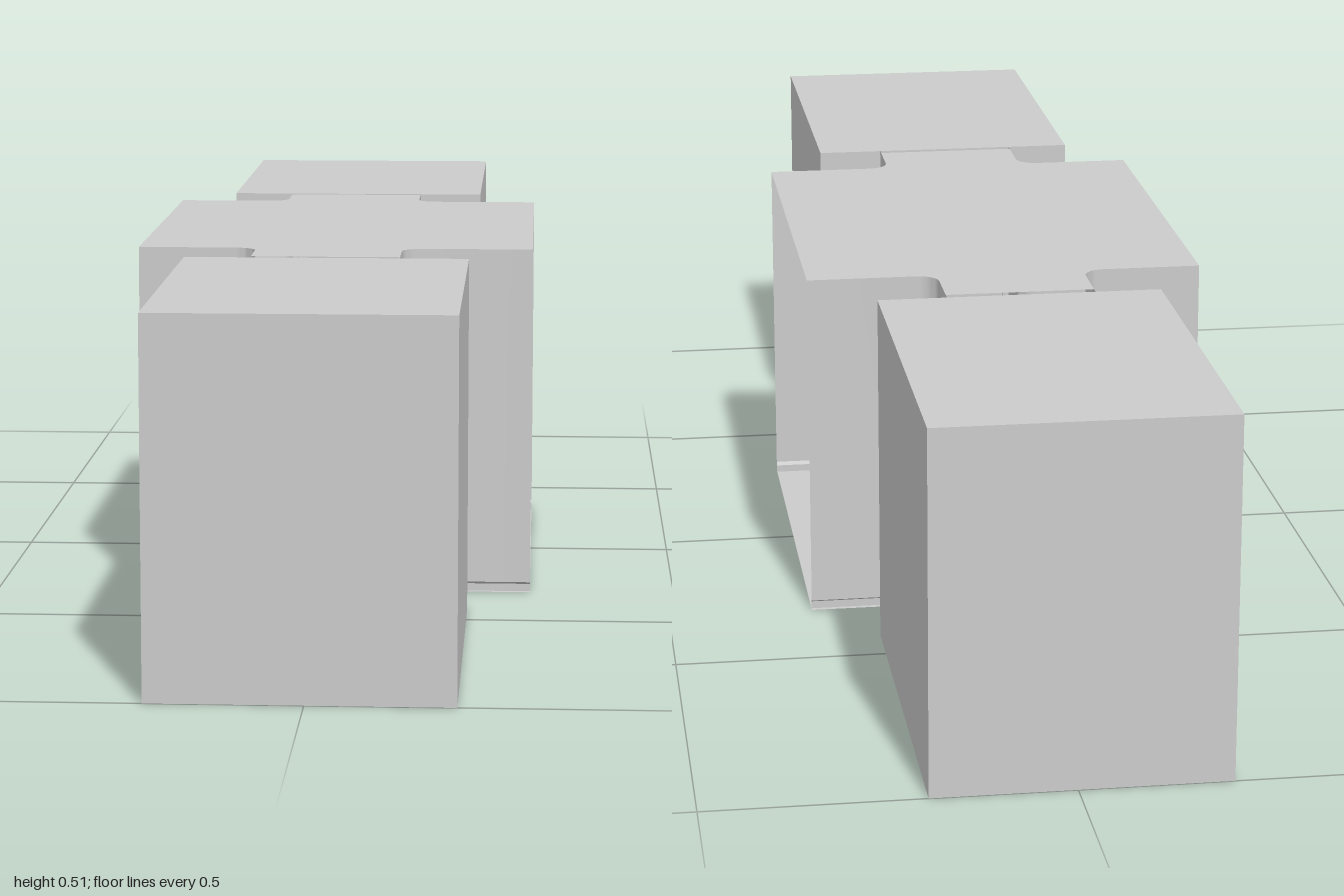
import * as THREE from 'three';
import { toCreasedNormals } from 'three/addons/utils/BufferGeometryUtils.js';

const H = 0.51;        // height
const ROOM_X = 0.288;  // half width of the central room
const ROOM_Z = 0.316;  // half depth of the central room
const NECK_CX = -0.008, NECK_W = 0.107; // passage centre and half width
const GAP_Z = 0.416;   // passage ceiling ends here
const END_Z = 0.429;   // end blocks begin here
const R = 0.03;        // rounded corner between room and passage

const solid = new THREE.MeshStandardMaterial({ color: 0xcccccc });
const sheet = new THREE.MeshStandardMaterial({ color: 0xcccccc, side: THREE.DoubleSide });

function add(parent, name, geometry, material = solid) {
  const mesh = new THREE.Mesh(geometry, material);
  mesh.name = name;
  parent.add(mesh);
  return mesh;
}

function box(parent, name, x0, x1, y0, y1, z0, z1) {
  const mesh = add(parent, name, new THREE.BoxGeometry(x1 - x0, y1 - y0, Math.abs(z1 - z0)));
  mesh.position.set((x0 + x1) / 2, (y0 + y1) / 2, (z0 + z1) / 2);
}

// Plan line of one wall: straight, rounded corner, passage side.
// d moves the line towards the inside.
function wallLine(sx, sz, d, endZ) {
  const neck = NECK_CX + sx * NECK_W;
  const cx = neck + sx * R, cz = ROOM_Z + R;
  const pts = [[sx * ROOM_X, sz * (ROOM_Z - d)]];
  for (let i = 0; i <= 8; i++) {
    const a = (i / 8) * Math.PI / 2;
    pts.push([cx - sx * (R + d) * Math.sin(a), sz * (cz - (R + d) * Math.cos(a))]);
  }
  pts.push([neck - sx * d, sz * endZ]);
  return pts;
}

// Wall sheet with a small skirting step at its foot
function wallGeometry(sx, sz) {
  const rows = [[0, 0.007], [0.011, 0.007], [0.015, 0], [H, 0]];
  const pos = [], index = [];
  let n = 0;
  for (const [y, d] of rows) {
    const line = wallLine(sx, sz, d, END_Z);
    n = line.length;
    for (const [x, z] of line) pos.push(x, y, z);
  }
  for (let r = 0; r < rows.length - 1; r++) {
    for (let i = 0; i < n - 1; i++) {
      const a = r * n + i, b = a + 1, c = a + n, e = c + 1;
      // winding depends on the mirrored side so the front faces inwards
      if (sx * sz > 0) index.push(a, b, c, b, e, c);
      else index.push(a, c, b, b, c, e);
    }
  }
  const g = new THREE.BufferGeometry();
  g.setAttribute('position', new THREE.Float32BufferAttribute(pos, 3));
  g.setIndex(index);
  return toCreasedNormals(g, 0.5);
}

// Cross-shaped plan of the room with both passages
function planGeometry(endZ) {
  const pts = [
    ...wallLine(1, 1, 0, endZ),
    ...wallLine(-1, 1, 0, endZ).reverse(),
    ...wallLine(-1, -1, 0, endZ),
    ...wallLine(1, -1, 0, endZ).reverse(),
  ];
  const shape = new THREE.Shape(pts.map(([x, z]) => new THREE.Vector2(x, z)));
  return new THREE.ShapeGeometry(shape).rotateX(Math.PI / 2);
}

export function createModel() {
  const model = new THREE.Group();
  model.name = 'corridorModule';

  // Central room, open on its left and right sides
  const room = new THREE.Group();
  room.name = 'room';
  model.add(room);
  add(room, 'floor', planGeometry(END_Z), sheet);
  add(room, 'ceiling', planGeometry(GAP_Z), sheet).position.y = H;
  for (const sz of [1, -1])
    for (const sx of [1, -1])
      add(room, 'wall', wallGeometry(sx, sz), sheet);

  // End blocks, each with a door closing the passage
  for (const sz of [1, -1]) {
    const end = new THREE.Group();
    end.name = sz > 0 ? 'frontEnd' : 'backEnd';
    model.add(end);
    box(end, 'block', -0.21, 0.198, 0, H, sz * END_Z, sz);

    const x0 = NECK_CX - NECK_W, x1 = NECK_CX + NECK_W;
    box(end, 'doorPanel', x0 + 0.001, x1 - 0.001, 0.001, H - 0.015, sz * 0.424, sz * END_Z);
    for (const y of [0.075, H - 0.094])
      box(end, 'doorRail', x0 + 0.01, x1 - 0.01, y, y + 0.019, sz * 0.42, sz * 0.425);
    box(end, 'doorJamb', x0 + 0.001, x0 + 0.01, 0.001, H - 0.015, sz * 0.417, sz * 0.425);
    box(end, 'doorJamb', x1 - 0.01, x1 - 0.001, 0.001, H - 0.015, sz * 0.417, sz * 0.425);
  }
  return model;
}
